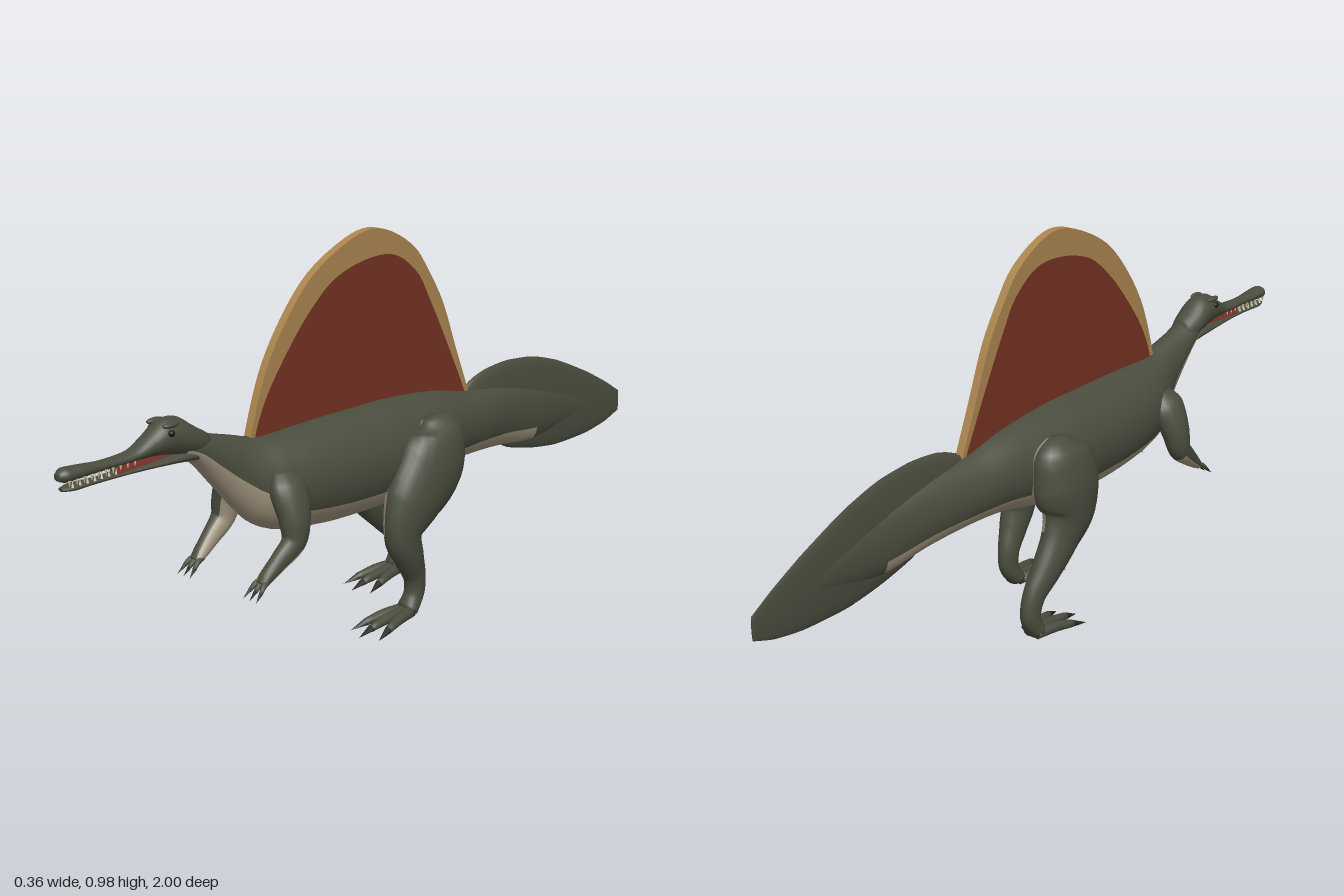
import * as THREE from 'three';

const mat = (name, color) => Object.assign(new THREE.MeshStandardMaterial({ color }), { name });
const olive = mat('olive skin', 0x4a4d3e);
const pale = mat('pale belly', 0xa3967f);
const tan = mat('tan sail edge', 0xab8550);
const red = mat('red sail', 0x743222);
const claw = mat('dark claw', 0x2b2b25);
const ivory = mat('ivory teeth', 0xd8cfb4);
const mouthRed = mat('mouth red', 0x8c3b30);
const eyeMat = mat('eye', 0x15130f);

const V = (x, y, z) => new THREE.Vector3(x, y, z);

// Smooth skin over elliptical rings [x, y, z, sideRadius, depthRadius].
// light(t, cos, sin, centre) picks the pale faces; dir fixes the ring direction.
function sweep(name, rings, { light = () => false, dir = null, sides = 24, steps = 5 } = {}) {
  const path = new THREE.CatmullRomCurve3(rings.map(r => V(r[0], r[1], r[2])));
  const size = new THREE.CatmullRomCurve3(rings.map(r => V(r[3], r[4], 0)));
  const n = (rings.length - 1) * steps;
  const pos = [], dark = [], bright = [];
  for (let i = 0; i <= n; i++) {
    const t = i / n, c = path.getPoint(t), s = size.getPoint(t);
    const tan = dir ? dir.clone() : path.getTangent(t);
    const side = V(1, 0, 0).addScaledVector(tan, -tan.x).normalize();
    const up = tan.clone().cross(side);
    for (let j = 0; j < sides; j++) {
      const a = j / sides * Math.PI * 2;
      const p = c.clone().addScaledVector(side, Math.cos(a) * Math.max(s.x, 0.001))
        .addScaledVector(up, Math.sin(a) * Math.max(s.y, 0.001));
      pos.push(p.x, p.y, p.z);
      if (i === n) continue;
      const m = (j + 0.5) / sides * Math.PI * 2;
      const k = (j + 1) % sides, b = i * sides;
      (light(t, Math.cos(m), Math.sin(m), c) ? bright : dark)
        .push(b + j, b + k, b + sides + j, b + k, b + sides + k, b + sides + j);
    }
  }
  // end caps
  const first = pos.length / 3;
  for (const r of [rings[0], rings[rings.length - 1]]) pos.push(r[0], r[1], r[2]);
  for (let j = 0; j < sides; j++) {
    const k = (j + 1) % sides, e = n * sides;
    dark.push(first, k, j, first + 1, e + j, e + k);
  }
  const g = new THREE.BufferGeometry();
  g.setAttribute('position', new THREE.Float32BufferAttribute(pos, 3));
  g.setIndex([...dark, ...bright]);
  g.addGroup(0, dark.length, 0);
  g.addGroup(dark.length, bright.length, 1);
  g.computeVertexNormals();
  const mesh = new THREE.Mesh(g, [olive, pale]);
  mesh.name = name;
  return mesh;
}

// Upright slices [z, top, bottom, halfWidth] turned into rings
const slices = list => list.map(([z, t, b, w]) => [0, (t + b) / 2, z, w, (t - b) / 2]);

// Cone from a to b, used for claws and teeth
function spike(name, a, b, r, material) {
  const d = b.clone().sub(a);
  const m = new THREE.Mesh(new THREE.ConeGeometry(r, d.length(), 6), material);
  m.position.copy(a).addScaledVector(d, 0.5);
  m.quaternion.setFromUnitVectors(V(0, 1, 0), d.normalize());
  m.name = name;
  return m;
}

function digit(name, a, b, r, clawEnd) {
  const g = new THREE.Group();
  g.name = name;
  const mid = a.clone().lerp(b, 0.55).add(V(0, 0.004, 0));
  g.add(sweep(name + 'Flesh', [[...a, r, r], [...mid, r * 0.85, r * 0.85], [...b, r * 0.6, r * 0.6]], { sides: 10, steps: 3 }));
  g.add(spike(name + 'Claw', b, clawEnd, r * 0.6, claw));
  return g;
}

function makeLeg(name, s, rings, footZ) {
  const g = new THREE.Group();
  g.name = name;
  g.add(sweep(name + 'Limb', rings.map(([x, ...r]) => [x * s, ...r]),
    { light: (t, c) => c * s < -0.3 && t < 0.5 }));
  // three spread toes and a small inner one
  for (const k of [-1, 0, 1]) {
    const x = s * 0.113 + k * 0.012, tip = s * 0.113 + k * 0.038, len = k ? 0.1 : 0.12;
    g.add(digit('toe', V(x, 0.024, footZ - 0.01), V(tip, 0.015, footZ + len), 0.016,
      V(tip + k * 0.01, 0.003, footZ + len + 0.045)));
  }
  g.add(digit('innerToe', V(s * 0.1, 0.025, footZ - 0.01), V(s * 0.068, 0.014, footZ + 0.01), 0.01,
    V(s * 0.055, 0.004, footZ + 0.025)));
  return g;
}

function makeArm(s) {
  const g = new THREE.Group();
  g.name = s > 0 ? 'leftArm' : 'rightArm';
  g.add(sweep('armLimb', [
    [0.07, 0.47, 0.405, 0.02, 0.035], [0.092, 0.43, 0.41, 0.036, 0.052], [0.114, 0.37, 0.415, 0.034, 0.042],
    [0.121, 0.32, 0.425, 0.028, 0.032], [0.118, 0.285, 0.465, 0.022, 0.025], [0.113, 0.25, 0.51, 0.019, 0.016],
    [0.112, 0.237, 0.525, 0.018, 0.01],
  ].map(([x, ...r]) => [x * s, ...r]), { light: (t, c, n) => c * s < -0.45 || (t > 0.5 && n < -0.4), sides: 18 }));
  for (const k of [-1, 0, 1])
    g.add(digit('finger', V(s * 0.112 + k * 0.01, 0.245, 0.512), V(s * 0.113 + k * 0.018, 0.226, 0.542), 0.008,
      V(s * 0.113 + k * 0.022, 0.208, 0.562)));
  return g;
}

function makeHead() {
  const g = new THREE.Group();
  g.name = 'head';
  const dir = V(0, 0, 1);
  g.add(sweep('upperJaw', slices([
    [0.59, 0.6, 0.54, 0.03], [0.63, 0.625, 0.55, 0.04], [0.67, 0.651, 0.56, 0.041], [0.71, 0.652, 0.57, 0.038],
    [0.75, 0.628, 0.575, 0.03], [0.8, 0.602, 0.576, 0.022], [0.88, 0.598, 0.575, 0.017],
    [0.94, 0.603, 0.574, 0.021], [0.98, 0.606, 0.573, 0.022], [1.0, 0.598, 0.58, 0.01],
  ]), { dir }));
  g.add(sweep('lowerJaw', slices([
    [0.6, 0.57, 0.53, 0.03], [0.66, 0.572, 0.543, 0.035], [0.74, 0.568, 0.549, 0.028], [0.82, 0.565, 0.551, 0.019],
    [0.9, 0.564, 0.551, 0.015], [0.96, 0.566, 0.551, 0.019], [0.99, 0.563, 0.554, 0.01],
  ]), { dir, light: (t, c, n) => n < -0.4 && t < 0.6 }));
  const mouth = new THREE.Mesh(new THREE.BoxGeometry(0.03, 0.018, 0.2), mouthRed);
  mouth.position.set(0, 0.57, 0.75);
  mouth.name = 'mouthLining';
  g.add(mouth);
  for (const s of [-1, 1]) {
    const eye = new THREE.Mesh(new THREE.SphereGeometry(0.008, 12, 8), eyeMat);
    eye.position.set(s * 0.034, 0.626, 0.71);
    eye.name = 'eye';
    const brow = new THREE.Mesh(new THREE.SphereGeometry(0.012, 12, 8), olive);
    brow.scale.set(0.8, 0.6, 2);
    brow.position.set(s * 0.027, 0.643, 0.705);
    brow.name = 'brow';
    g.add(eye, brow);
    // rows of teeth
    for (let i = 0; i < 10; i++) {
      const z = 0.8 + i * 0.02, x = s * (i > 5 ? 0.016 : 0.014);
      g.add(spike('upperTooth', V(x, 0.58, z), V(x, 0.564, z), 0.004, ivory));
      g.add(spike('lowerTooth', V(x * 0.85, 0.562, z - 0.01), V(x * 0.85, 0.577, z - 0.01), 0.0035, ivory));
    }
  }
  return g;
}

// Tall back sail: red web inside a tan border, drawn in the z-y plane
function makeSail() {
  const g = new THREE.Group();
  g.name = 'sail';
  const curve = pts => new THREE.SplineCurve(pts.map(p => new THREE.Vector2(...p))).getPoints(60);
  const outer = curve([[0.46, 0.5], [0.45, 0.56], [0.4, 0.7], [0.33, 0.81], [0.25, 0.895], [0.155, 0.95], [0.06, 0.98],
    [-0.02, 0.968], [-0.11, 0.915], [-0.165, 0.845], [-0.22, 0.755], [-0.27, 0.63], [-0.315, 0.52], [-0.328, 0.48]]);
  const inner = curve([[0.445, 0.5], [0.435, 0.56], [0.395, 0.645], [0.32, 0.745], [0.25, 0.82], [0.17, 0.88], [0.06, 0.91],
    [-0.04, 0.905], [-0.12, 0.85], [-0.165, 0.78], [-0.235, 0.65], [-0.3, 0.52], [-0.315, 0.48]]);
  const plate = (name, pts, material) => {
    const geo = new THREE.ExtrudeGeometry(new THREE.Shape(pts), { depth: 0.022, bevelEnabled: false });
    geo.rotateY(-Math.PI / 2).translate(0.011, 0, 0);
    const m = new THREE.Mesh(geo, material);
    m.name = name;
    g.add(m);
  };
  plate('sailWeb', inner, red);
  plate('sailBorder', [...outer, ...inner.slice().reverse()], tan);
  return g;
}

export function createModel() {
  const model = new THREE.Group();
  model.name = 'sailBackedDinosaur';
  const dir = V(0, 0, 1);
  // tail, trunk and neck in one skin
  model.add(sweep('body', slices([
    [-0.99, 0.345, 0.315, 0.003], [-0.8, 0.405, 0.325, 0.012], [-0.6, 0.46, 0.305, 0.028], [-0.45, 0.49, 0.322, 0.046],
    [-0.3, 0.507, 0.33, 0.07], [-0.2, 0.53, 0.325, 0.088], [-0.08, 0.545, 0.3, 0.105], [0.05, 0.552, 0.282, 0.117],
    [0.2, 0.553, 0.285, 0.115], [0.32, 0.552, 0.298, 0.108], [0.4, 0.55, 0.315, 0.094], [0.45, 0.553, 0.342, 0.074],
    [0.5, 0.568, 0.39, 0.053], [0.56, 0.585, 0.458, 0.043], [0.62, 0.605, 0.525, 0.038], [0.66, 0.615, 0.55, 0.032],
  ]), { dir, sides: 36, light: (t, c, n, p) => p.z > -0.62 && n < (p.z > 0.38 ? -0.25 : -0.48) }));
  // deep flattened tail fin
  model.add(sweep('tailFin', slices([
    [-1.0, 0.36, 0.3, 0.003], [-0.94, 0.397, 0.28, 0.006], [-0.85, 0.445, 0.266, 0.01], [-0.7, 0.51, 0.265, 0.014],
    [-0.6, 0.538, 0.28, 0.016], [-0.5, 0.549, 0.305, 0.018], [-0.4, 0.542, 0.36, 0.018], [-0.34, 0.522, 0.4, 0.016],
    [-0.29, 0.49, 0.42, 0.01],
  ]), { dir }));
  model.add(makeHead(), makeSail(), makeArm(1), makeArm(-1));
  // left leg steps forward, right leg trails
  model.add(makeLeg('leftLeg', 1, [
    [0.1, 0.505, -0.08, 0.02, 0.03], [0.108, 0.465, -0.085, 0.056, 0.085], [0.115, 0.39, -0.055, 0.065, 0.108],
    [0.12, 0.31, 0.015, 0.056, 0.09], [0.122, 0.235, 0.05, 0.04, 0.056], [0.12, 0.17, 0.027, 0.034, 0.042],
    [0.115, 0.11, 0.0, 0.026, 0.031], [0.114, 0.065, 0.0, 0.025, 0.027], [0.113, 0.025, 0.025, 0.03, 0.022],
  ], 0.035));
  model.add(makeLeg('rightLeg', -1, [
    [0.1, 0.505, -0.07, 0.02, 0.03], [0.108, 0.465, -0.075, 0.056, 0.085], [0.115, 0.39, -0.06, 0.065, 0.105],
    [0.12, 0.31, -0.055, 0.056, 0.085], [0.122, 0.245, -0.09, 0.04, 0.06], [0.12, 0.18, -0.14, 0.034, 0.044],
    [0.115, 0.12, -0.184, 0.026, 0.032], [0.114, 0.07, -0.195, 0.025, 0.027], [0.113, 0.025, -0.175, 0.03, 0.022],
  ], -0.175));
  return model;
}
